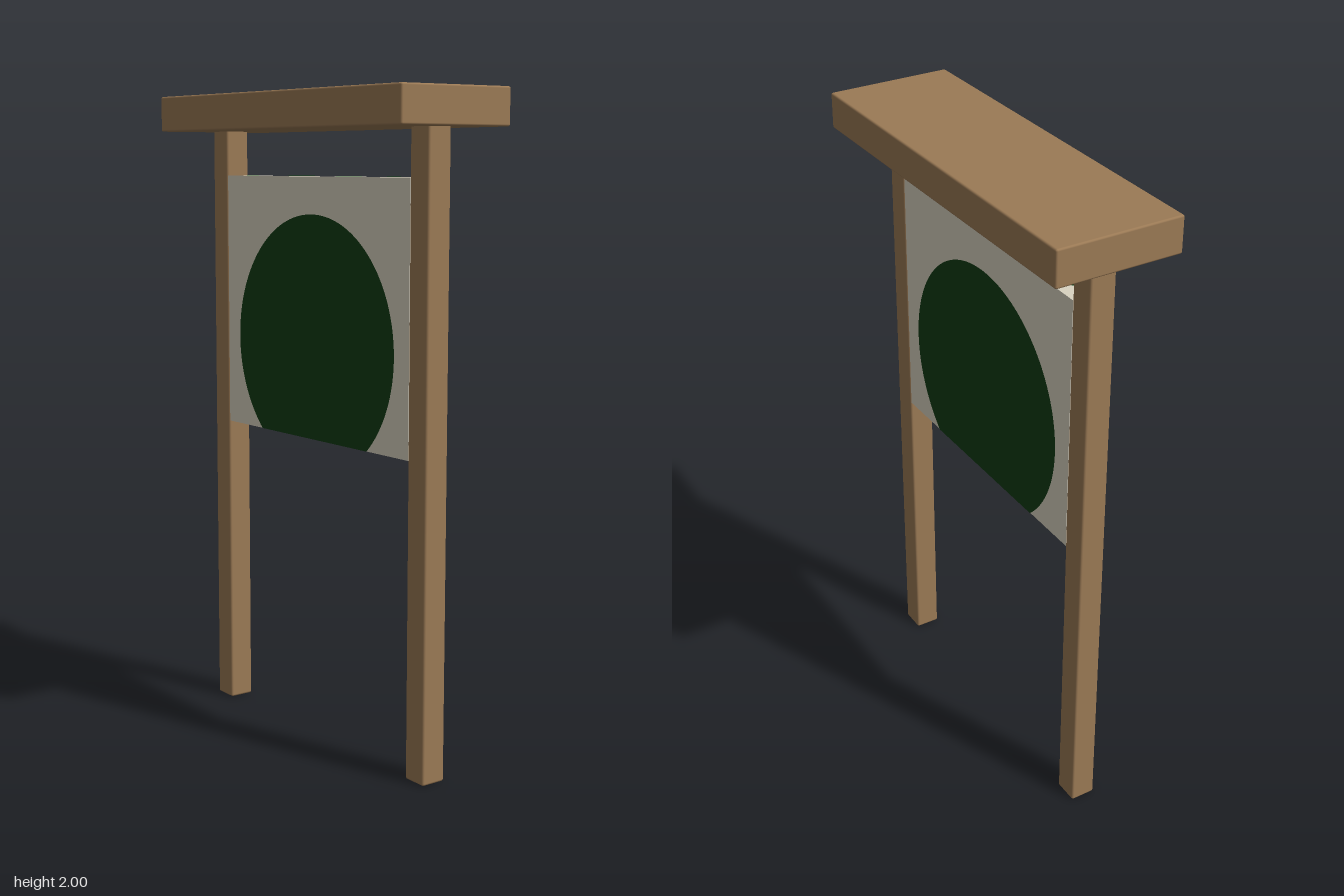
import * as THREE from 'three';
import { RoundedBoxGeometry } from 'three/addons/geometries/RoundedBoxGeometry.js';

const wood = new THREE.MeshStandardMaterial({ name: 'wood', color: 0x9b7a55 });
const cream = new THREE.MeshStandardMaterial({ name: 'cream', color: 0xdad3c1 });
const green = new THREE.MeshStandardMaterial({ name: 'dark green', color: 0x0e3b12 });

const PANEL = { w: 0.926, h: 0.8, d: 0.076, y: 1.35 };

function add(parent, name, geometry, material, x = 0, y = 0, z = 0) {
  const mesh = new THREE.Mesh(geometry, material);
  mesh.name = name;
  mesh.position.set(x, y, z);
  parent.add(mesh);
  return mesh;
}

// Disc cut flat at the bottom, stretched to fit a face of the given size
function discGeometry(width, height) {
  const r = 0.397, cy = -0.11, bottom = -PANEL.h / 2;
  const a = Math.asin((bottom - cy) / r);
  const shape = new THREE.Shape();
  shape.absarc(0, cy, r, a, Math.PI - a, false);
  shape.closePath();
  return new THREE.ShapeGeometry(shape, 64).scale(width / PANEL.w, height / PANEL.h, 1);
}

export function createModel() {
  const model = new THREE.Group();
  model.name = 'signboard';

  // Posts and roof beam with slightly eased edges
  for (const [name, side] of [['leftPost', 1], ['rightPost', -1]]) {
    add(model, name, new RoundedBoxGeometry(0.082, 1.9, 0.08, 2, 0.007), wood, side * 0.504, 0.95, 0);
  }
  add(model, 'roofBoard', new RoundedBoxGeometry(1.23, 0.11, 0.39, 2, 0.006), wood, 0, 1.945, 0);

  // Panel between the posts
  const sign = new THREE.Group();
  sign.name = 'sign';
  sign.position.y = PANEL.y;
  model.add(sign);
  add(sign, 'panel', new THREE.BoxGeometry(PANEL.w, PANEL.h, PANEL.d), cream);

  // Painted discs on front and back, squashed ones on the top and bottom edges
  const gap = 0.0015, z = PANEL.d / 2 + gap, y = PANEL.h / 2 + gap;
  const face = discGeometry(PANEL.w, PANEL.h);
  const edge = discGeometry(PANEL.w, PANEL.d);
  add(sign, 'frontDisc', face, green, 0, 0, z);
  add(sign, 'backDisc', face, green, 0, 0, -z).rotation.y = Math.PI;
  add(sign, 'topDisc', edge, green, 0, y, 0).rotation.x = -Math.PI / 2;
  add(sign, 'bottomDisc', edge, green, 0, -y, 0).rotation.x = Math.PI / 2;

  return model;
}
